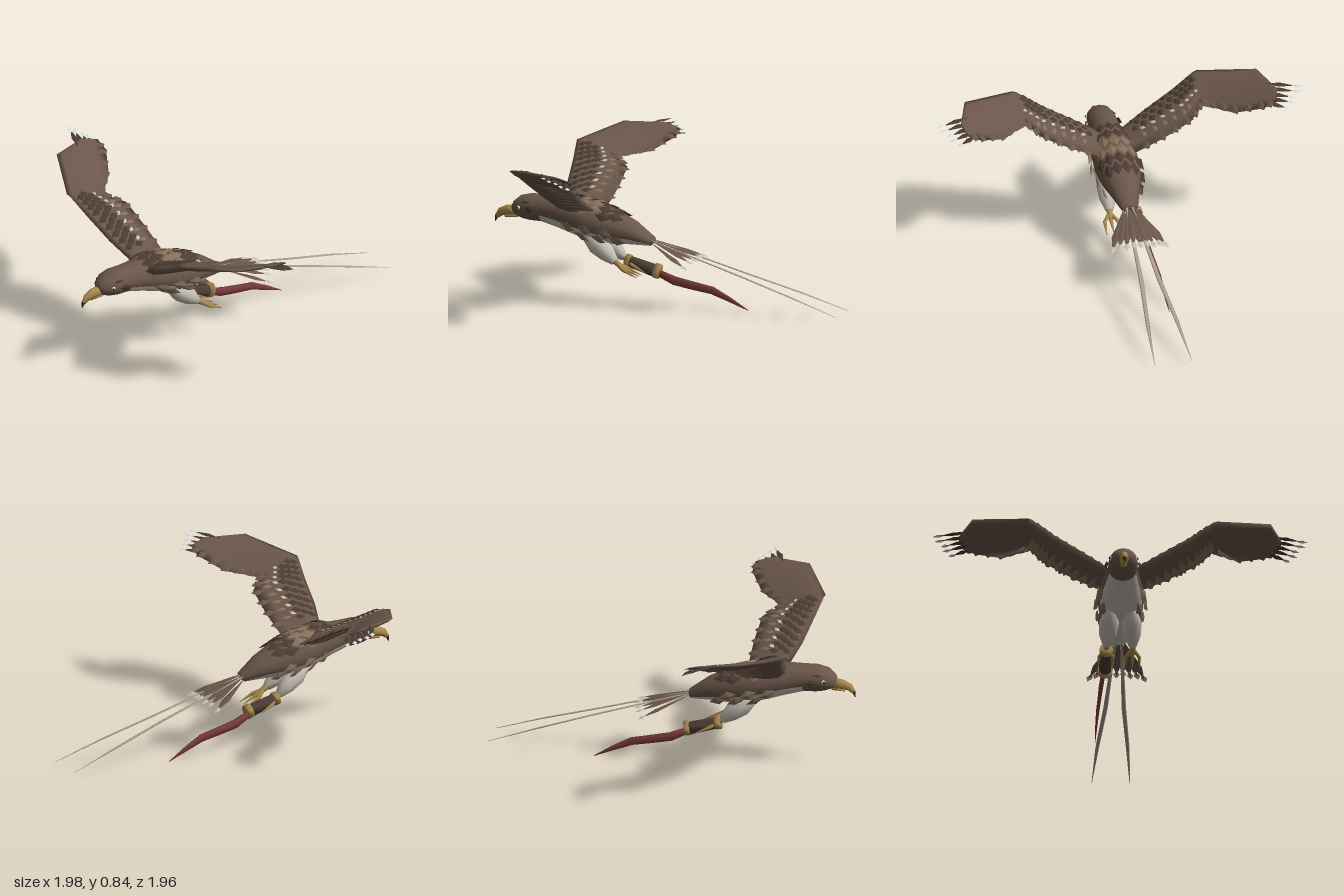
import * as THREE from 'three';
import { mergeGeometries } from 'three/addons/utils/BufferGeometryUtils.js';

const V = (x, y, z) => new THREE.Vector3(x, y, z);
const UP = V(0, 1, 0);

function material(name, color) {
  const m = new THREE.MeshStandardMaterial({ color, side: THREE.DoubleSide });
  m.name = name;
  return m;
}

// Joins equal rings of points into a closed skin; pale(i, j) picks the second material.
function loft(rings, pale = () => false) {
  const n = rings[0].length, pos = [], main = [], second = [];
  rings.forEach(r => r.forEach(p => pos.push(p.x, p.y, p.z)));
  for (let i = 0; i < rings.length - 1; i++) {
    for (let j = 0; j < n; j++) {
      const a = i * n + j, b = i * n + (j + 1) % n;
      (pale(i, j) ? second : main).push(a, b, b + n, a, b + n, a + n);
    }
  }
  const last = (rings.length - 1) * n;
  for (let j = 1; j < n - 1; j++) main.push(0, j + 1, j, last, last + j, last + j + 1);
  const g = new THREE.BufferGeometry();
  g.setAttribute('position', new THREE.Float32BufferAttribute(pos, 3));
  g.setIndex([...main, ...second]);
  g.addGroup(0, main.length, 0);
  if (second.length) g.addGroup(main.length, second.length, 1);
  g.computeVertexNormals();
  return g;
}

// Tapering tube; each row is [x, y, z, halfWidth, halfHeight].
function tube(rows, n = 8, pale) {
  const pts = rows.map(r => V(r[0], r[1], r[2]));
  return loft(rows.map((r, i) => {
    const d = pts[Math.min(i + 1, pts.length - 1)].clone().sub(pts[Math.max(i - 1, 0)]).normalize();
    const side = UP.clone().cross(d).normalize(), up = d.clone().cross(side);
    return Array.from({ length: n }, (_, j) => {
      const a = j / n * Math.PI * 2;
      return pts[i].clone().addScaledVector(side, Math.cos(a) * r[3])
        .addScaledVector(up, Math.sin(a) * (r[4] ?? r[3]));
    });
  }), pale);
}

// Ridged kite-shaped feather, widest at the fraction "at" of its length.
function feather(base, tip, width, up = UP, at = 0.5) {
  const d = tip.clone().sub(base);
  const side = d.clone().cross(up).normalize().multiplyScalar(width / 2);
  const c = base.clone().addScaledVector(d, at);
  const rim = [c.clone().add(side), tip, c.clone().sub(side), base];
  const mid = c.clone().addScaledVector(up, width * 0.14);
  const g = new THREE.BufferGeometry().setFromPoints(
    rim.flatMap((p, i) => [mid, p, rim[(i + 1) % 4]]));
  g.computeVertexNormals();
  return g;
}

// Body sections from tail to face: [x, y, z, halfWidth, halfHeight]
const BODY = [
  [0, 0.36, 0.09, 0.045, 0.025], [0, 0.398, 0.2, 0.08, 0.064], [0, 0.42, 0.3, 0.108, 0.09],
  [0, 0.443, 0.4, 0.122, 0.1], [0, 0.467, 0.5, 0.118, 0.098], [0, 0.486, 0.6, 0.095, 0.086],
  [0, 0.499, 0.7, 0.077, 0.073], [0, 0.501, 0.77, 0.078, 0.072], [0, 0.498, 0.82, 0.07, 0.062],
  [0, 0.488, 0.855, 0.05, 0.042], [0, 0.483, 0.872, 0.025, 0.024],
];

function onBody(z, angle, off = 0) {
  let i = 0;
  while (i < BODY.length - 2 && BODY[i + 1][2] < z) i++;
  const t = (z - BODY[i][2]) / (BODY[i + 1][2] - BODY[i][2]);
  const [, y, , w, h] = BODY[i].map((v, k) => v + (BODY[i + 1][k] - v) * t);
  return V(Math.cos(angle) * (w + off), y + Math.sin(angle) * (h + off), z);
}

// Wing stations, root to tip: leading edge, trailing edge, half thickness
const WING = [
  [V(0.06, 0.53, 0.6), V(0.06, 0.5, 0.38), 0.03], [V(0.2, 0.61, 0.645), V(0.25, 0.59, 0.375), 0.026],
  [V(0.36, 0.7, 0.675), V(0.4, 0.67, 0.385), 0.022], [V(0.475, 0.775, 0.7), V(0.47, 0.71, 0.47), 0.018],
  [V(0.495, 0.78, 0.705), V(0.51, 0.705, 0.45), 0.018], [V(0.64, 0.81, 0.63), V(0.62, 0.72, 0.335), 0.016],
  [V(0.785, 0.84, 0.555), V(0.76, 0.78, 0.25), 0.012], [V(0.85, 0.835, 0.35), V(0.83, 0.81, 0.25), 0.006],
];
const WING_UP = V(-0.42, 0.9, 0.05).normalize();

// Point on the wing: u along the stations, v from leading to trailing edge, face 1 top or -1 below.
function onWing(u, v, face, off = 0) {
  const i = Math.min(Math.floor(u), WING.length - 2), t = u - i, A = WING[i], B = WING[i + 1];
  const thick = THREE.MathUtils.lerp(A[2], B[2], t) * Math.sin(Math.PI * Math.pow(v, 0.6));
  return A[0].clone().lerp(B[0], t).lerp(A[1].clone().lerp(B[1], t), v)
    .addScaledVector(WING_UP, face * (thick + off));
}

export function createModel() {
  const model = new THREE.Group();
  model.name = 'bird';
  const brown = material('brown plumage', 0x6a564a), dark = material('dark brown plumage', 0x4b3c33);
  const tan = material('tan feathers', 0x85705a), pale = material('pale belly', 0xc6c0b4);
  const streamer = material('tail streamer', 0xaaa08f), silver = material('silver tips', 0xdce0e2);
  const gold = material('gold beak', 0xa98a50), red = material('red ribbon', 0x7c3b3a);
  const black = material('black', 0x25201d);
  const add = (parent, name, geometry, mat) => {
    const m = new THREE.Mesh(Array.isArray(geometry) ? mergeGeometries(geometry) : geometry, mat);
    m.name = name;
    parent.add(m);
    return m;
  };

  // Body and head with a pale underside
  add(model, 'body', tube(BODY, 16, (i, j) => i < 6 && j >= 9 && j <= 14), [brown, pale]);

  // Scales across the back
  const backDark = [], backTan = [];
  [0.62, 0.56, 0.5, 0.44, 0.38, 0.32].forEach((z, r) => {
    const n = r % 2 ? 4 : 5;
    for (let k = 0; k < n; k++) {
      const a = Math.PI / 2 + (k - (n - 1) / 2) * 0.46;
      const up = V(Math.cos(a), Math.sin(a), 0);
      (r === 2 || r === 3 ? backTan : backDark).push(
        feather(onBody(z, a, 0.004), onBody(z - 0.095, a, 0.02), 0.062, up));
    }
  });
  add(model, 'backScales', backDark, dark);
  add(model, 'backTanScales', backTan, tan);

  // Flank tufts and cheek feathers
  const tufts = [], cheeks = [];
  for (const s of [1, -1]) {
    const ang = a => s > 0 ? a : Math.PI - a;
    for (const [z, a] of [[0.57, -0.4], [0.5, -0.75], [0.47, -0.25], [0.4, -0.6], [0.36, -0.2], [0.3, -0.5]]) {
      const up = V(Math.cos(ang(a)), Math.sin(a), 0);
      tufts.push(feather(onBody(z, ang(a), 0.002), onBody(z - 0.09, ang(a), 0.028), 0.06, up));
    }
    cheeks.push(feather(onBody(0.78, ang(-0.1), 0), V(s * 0.1, 0.5, 0.725), 0.04, V(s, 0, 0)));
    cheeks.push(feather(onBody(0.84, ang(0.6), 0.004), onBody(0.75, ang(0.5), 0.008), 0.02, V(s, 0.6, 0)));
  }
  add(model, 'flankTufts', tufts, tan);
  add(model, 'cheekFeathers', cheeks, dark);

  // Hooked beak and eyes
  add(model, 'beak', tube([[0, 0.478, 0.855, 0.026, 0.03], [0, 0.475, 0.905, 0.022, 0.028],
    [0, 0.462, 0.945, 0.017, 0.022], [0, 0.437, 0.967, 0.01, 0.012]]), gold);
  add(model, 'beakTip', tube([[0, 0.442, 0.965, 0.011, 0.012], [0, 0.408, 0.977, 0.001]], 6), black);
  add(model, 'lowerBeak', tube([[0, 0.452, 0.85, 0.018, 0.012], [0, 0.442, 0.92, 0.008, 0.006]], 6), gold);
  for (const s of [1, -1]) {
    add(model, 'eye', new THREE.SphereGeometry(0.011, 8, 6), silver).position.set(s * 0.066, 0.503, 0.818);
    add(model, 'pupil', new THREE.SphereGeometry(0.006, 8, 6), black).position.set(s * 0.073, 0.503, 0.823);
  }

  // Wings, built on the left and mirrored
  for (const s of [1, -1]) {
    const wing = new THREE.Group();
    wing.name = s > 0 ? 'leftWing' : 'rightWing';
    wing.scale.x = s;
    model.add(wing);
    const vs = [0.8, 0.55, 0.3, 0.1];
    add(wing, 'wingSurface', loft(WING.map((_, u) => [onWing(u, 1, 1), ...vs.map(v => onWing(u, v, 1)),
      onWing(u, 0, 1), ...[...vs].reverse().map(v => onWing(u, v, -1))])), brown);

    const coverts = [], spots = [], small = [], under = [], edge = [], fingers = [], tips = [];
    // Overlapping coverts in rows over the inner wing
    for (const v of [0.06, 0.2, 0.34]) {
      for (let k = 0; k < 9; k++) {
        const u = 0.45 + k * 0.29 + (v === 0.2 ? 0.14 : 0);
        coverts.push(feather(onWing(u, v, 1, 0.002), onWing(u + 0.05, v + 0.24, 1, 0.014), 0.045, WING_UP));
      }
    }
    // Pale spots, then small tan feathers behind them
    for (let k = 0; k < 8; k++) {
      const u = 0.6 + k * 0.33, v = 0.5 + k * 0.012;
      spots.push(feather(onWing(u, v, 1, 0.007), onWing(u + 0.14, v + 0.12, 1, 0.012), 0.026, WING_UP));
      if (k < 6) small.push(feather(onWing(u, v + 0.1, 1, 0.002), onWing(u + 0.03, v + 0.3, 1, 0.007), 0.026, WING_UP));
    }
    // Long feathers beneath and along the trailing edge
    const down = WING_UP.clone().negate();
    for (let k = 0; k < 10; k++) {
      const u = 0.4 + k * 0.27;
      under.push(feather(onWing(u, 0.4, -1, 0.002), onWing(u + 0.1, 1, -1, 0.012), 0.045, down, 0.65));
    }
    for (let k = 0; k < 14; k++) {
      const u = 0.5 + k * 0.45, a = onWing(u, 0.8, 1), b = onWing(u, 1, 1, 0.004);
      edge.push(feather(a, b.add(V(0.015, -0.004, -0.018)), 0.05, WING_UP, 0.6));
    }
    // Spread finger feathers with bright tips
    for (let k = 0; k < 5; k++) {
      const t = k / 4;
      const a = V(0.79, 0.835, 0.41).lerp(V(0.78, 0.795, 0.28), t);
      const b = V(0.99, 0.843, 0.32).lerp(V(0.9, 0.775, 0.22), t).add(V(k % 2 ? 0.012 : 0, 0, 0));
      const m = a.clone().lerp(b, 0.66);
      fingers.push(feather(a, a.clone().lerp(b, 0.8), 0.034, WING_UP));
      tips.push(feather(m, b, 0.028, WING_UP));
    }
    add(wing, 'coverts', coverts, dark);
    add(wing, 'paleSpots', spots, pale);
    add(wing, 'smallFeathers', small, tan);
    add(wing, 'underFeathers', under, tan);
    add(wing, 'trailingFeathers', edge, brown);
    add(wing, 'fingerFeathers', fingers, dark);
    add(wing, 'fingerTips', tips, silver);

    // Long tail streamer
    add(model, 'tailStreamer', tube([[0.015, 0.365, 0.09, 0.006, 0.003], [0.028, 0.31, -0.1, 0.009, 0.003],
      [0.048, 0.215, -0.42, 0.012, 0.003], [0.08, 0.125, -0.72, 0.01, 0.003],
      [0.1, 0.04, -0.98, 0.001, 0.001]].map(([x, ...r]) => [s * x, ...r]), 6), streamer);

    // Leg: feathered thigh, shank and toes
    const leg = new THREE.Group();
    leg.name = s > 0 ? 'leftLeg' : 'rightLeg';
    leg.scale.x = s;
    model.add(leg);
    add(leg, 'thigh', tube([[0.055, 0.38, 0.44, 0.03], [0.06, 0.335, 0.38, 0.053],
      [0.065, 0.29, 0.32, 0.045], [0.068, 0.25, 0.275, 0.022]], 10), pale);
    add(leg, 'shank', tube([[0.068, 0.262, 0.29, 0.018], [0.07, 0.225, 0.235, 0.014]], 8), gold);
    add(leg, 'toes', [-1, 0, 1].map(k => tube([[0.07, 0.24, 0.26, 0.012],
      [0.07 + k * 0.035, 0.215, 0.215, 0.01], [0.07 + k * 0.04, 0.18, 0.14, 0.002]], 6)), gold);
  }

  // Fanned tail with pale tips
  const fan = [], fanTips = [];
  for (let k = -4; k <= 4; k++) {
    const t = k / 4, lift = (k % 2 ? 0.006 : 0);
    const a = V(t * 0.025, 0.365 + lift, 0.1);
    const b = V(t * 0.155, 0.29 + lift - 0.045 * t * t, -0.215 + 0.05 * t * t);
    fan.push(feather(a, a.clone().lerp(b, 0.93), 0.044, UP, 0.7));
    fanTips.push(feather(a.clone().lerp(b, 0.8), b, 0.035, UP, 0.55));
  }
  add(model, 'tailFan', fan, brown);
  add(model, 'tailTips', fanTips, pale);

  // Cuff on the right leg with bands and a trailing ribbon
  add(model, 'legCuff', tube([[-0.07, 0.232, 0.25, 0.03], [-0.07, 0.187, 0.09, 0.034]], 10), dark);
  add(model, 'cuffBands', [
    tube([[-0.07, 0.236, 0.265, 0.036], [-0.07, 0.23, 0.24, 0.036]], 10),
    tube([[-0.07, 0.193, 0.103, 0.04], [-0.07, 0.186, 0.075, 0.04]], 10)], gold);
  add(model, 'ribbon', tube([[-0.08, 0.175, 0.08, 0.012, 0.02], [-0.088, 0.14, 0, 0.012, 0.026],
    [-0.092, 0.12, -0.1, 0.01, 0.025], [-0.097, 0.1, -0.21, 0.009, 0.023],
    [-0.101, 0.055, -0.31, 0.006, 0.014], [-0.104, 0.005, -0.41, 0.001, 0.002]], 6), red);

  return model;
}
